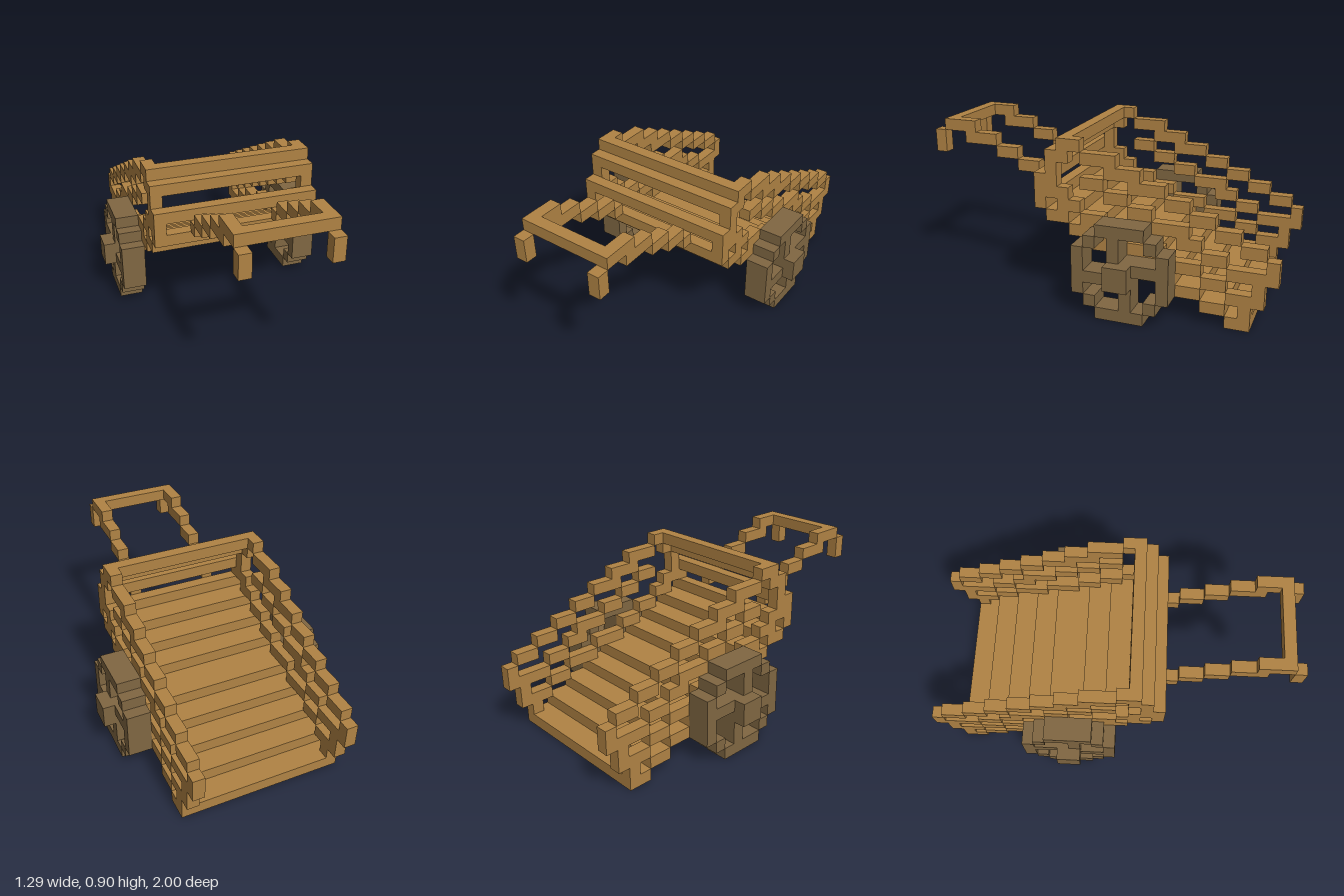
import * as THREE from 'three';

const U = 2 / 31; // one block

export function createModel() {
  const cart = new THREE.Group();
  cart.name = 'handcart';
  const wood = new THREE.MeshStandardMaterial({ color: 0xb08344 });
  wood.name = 'wood';
  const darkWood = new THREE.MeshStandardMaterial({ color: 0x806742 });
  darkWood.name = 'darkWood';

  const section = (name) => {
    const g = new THREE.Group();
    g.name = name;
    cart.add(g);
    return g;
  };

  // Box in block units: x range, y range, and k range counted back from the front end
  const block = (parent, name, mat, [x0, x1], [y0, y1], [k0, k1]) => {
    const geo = new THREE.BoxGeometry((x1 - x0) * U, (y1 - y0) * U, (k1 - k0) * U);
    const mesh = new THREE.Mesh(geo, mat);
    mesh.name = name;
    mesh.position.set((x0 + x1) / 2 * U, (y0 + y1) / 2 * U, 1 - (k0 + k1) / 2 * U);
    parent.add(mesh);
  };

  // A stepped run of one-block-high pieces: [row, k start, k end]
  const steps = (parent, name, mat, xs, list) =>
    list.forEach(([row, a, b]) => block(parent, name, mat, xs, [row, row + 1], [a, b]));

  // Sloping floor boards
  const bed = section('bed');
  steps(bed, 'floorBoard', wood, [-7, 7], [
    [0, 27, 29], [1, 25, 27], [2, 23, 25], [3, 20, 23], [4, 18, 21],
    [5, 16, 18], [6, 14, 16], [7, 12, 14], [8, 11, 12],
  ]);
  // Slatted front wall
  steps(bed, 'frontSlat', wood, [-6, 6], [[10, 11, 12], [12, 12, 13], [13, 13, 14]]);

  for (const s of [1, -1]) {
    const side = s > 0 ? 'left' : 'right';
    const span = (a, b) => (s > 0 ? [a, b] : [-b, -a]);

    // Side frame: front post, three rails and tail post
    const frame = section(side + 'SideFrame');
    const fx = span(6, 7);
    steps(frame, 'frontPost', wood, fx, [[9, 11, 13], [10, 11, 13], [11, 12, 13], [12, 12, 14]]);
    steps(frame, 'topRail', wood, fx, [
      [13, 13, 15], [12, 15, 18], [11, 17, 20], [10, 19, 22], [9, 22, 24],
      [8, 24, 26], [7, 26, 28], [6, 28, 30], [5, 30, 31],
    ]);
    steps(frame, 'middleRail', wood, fx, [
      [11, 13, 15], [10, 15, 17], [9, 17, 19], [8, 19, 21], [7, 21, 24],
      [6, 23, 25], [5, 25, 27], [4, 27, 29],
    ].slice(1));
    steps(frame, 'lowerRail', wood, fx, [
      [9, 13, 14], [8, 13, 15], [7, 15, 17], [6, 17, 19], [5, 19, 22],
      [4, 22, 25], [3, 25, 27], [2, 27, 30],
    ]);
    steps(frame, 'tailPost', wood, fx, [[1, 28, 29], [3, 29, 30], [4, 29, 31]]);

    // Wheel: blocky rim, pinwheel spokes and hub
    const wheel = section(side + 'Wheel');
    const wx = span(7, 9);
    for (const y of [0, 7]) block(wheel, 'rim', darkWood, wx, [y, y + 1], [17, 21]);
    for (const k of [15, 22]) block(wheel, 'rim', darkWood, wx, [2, 6], [k, k + 1]);
    for (const y of [1, 6])
      for (const k of [16, 21]) block(wheel, 'rimCorner', darkWood, wx, [y, y + 1], [k, k + 1]);
    block(wheel, 'spoke', darkWood, wx, [5, 7], [18, 19]);
    block(wheel, 'spoke', darkWood, wx, [1, 3], [19, 20]);
    block(wheel, 'spoke', darkWood, wx, [2 + 1, 4], [16, 18]);
    block(wheel, 'spoke', darkWood, wx, [4, 5], [20, 22]);
    block(wheel, 'hub', darkWood, span(7, 10), [3, 5], [18, 20]);

    // Handle arm with drooping grip
    const arm = section(side + 'HandleArm');
    const hx = span(3, 4);
    steps(arm, 'armStep', wood, hx, [[9, 10, 11], [10, 8, 10], [11, 6, 8], [12, 3, 6], [13, 1, 4]]);
    block(arm, 'grip', wood, hx, [11, 13], [0, 1]);
  }

  // Crossbar joining the handle arms
  block(cart, 'handleCrossbar', wood, [-3, 3], [13, 14], [1, 2]);
  return cart;
}
